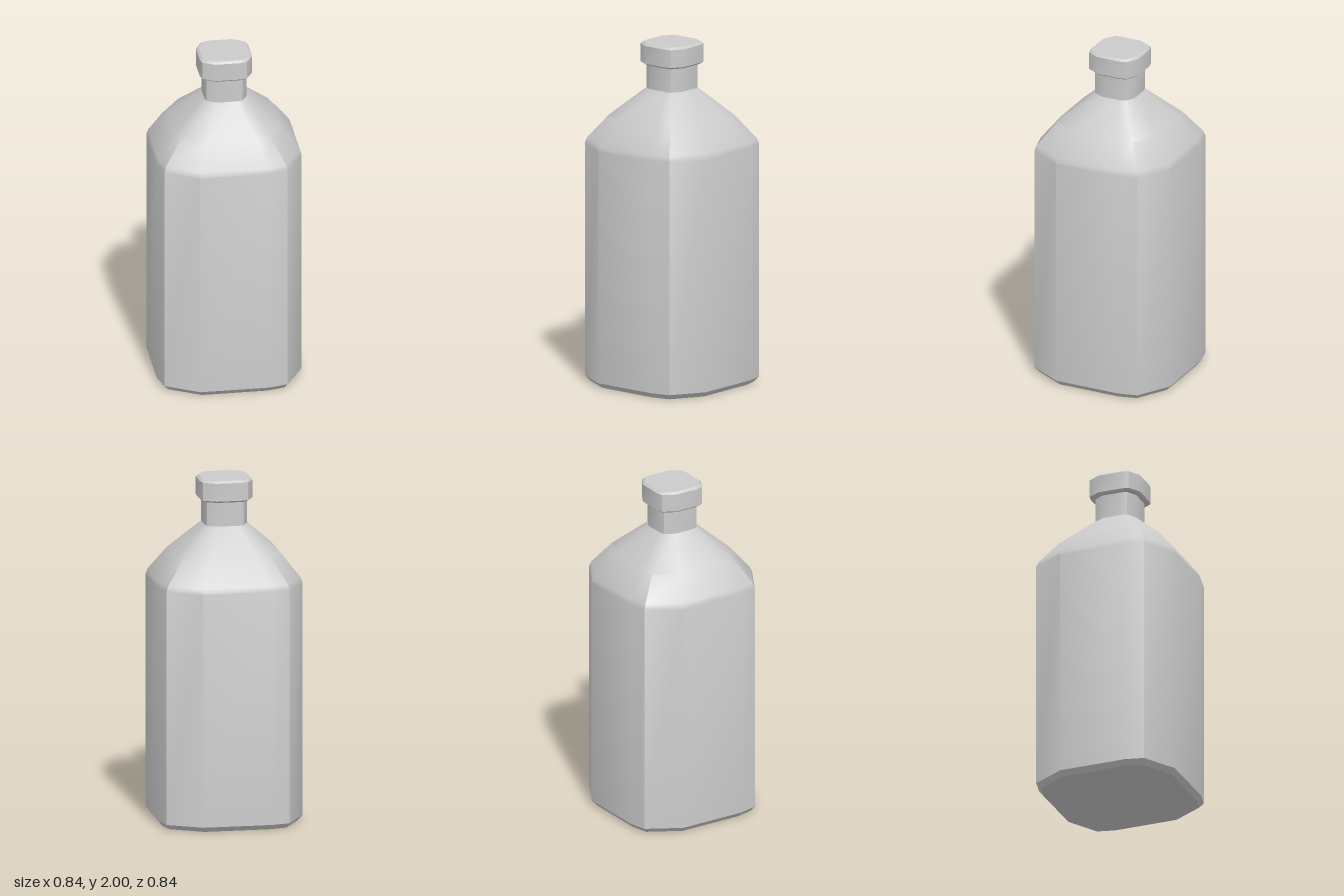
import * as THREE from 'three';
import { toCreasedNormals } from 'three/addons/utils/BufferGeometryUtils.js';

// One side of the rounded-square section, as fractions of its half width
const SIDE = [[-0.476, 1], [0.476, 1], [0.738, 0.936]];

// Full section, turned a quarter for each side (+z, +x, -z, -x)
function section() {
  const points = [];
  for (let k = 0; k < 4; k++) {
    for (const [px, pz] of SIDE) {
      let x = px, z = pz;
      for (let t = 0; t < k; t++) [x, z] = [z, -x];
      points.push([x, z]);
    }
  }
  return points;
}

// Closed loft of the section through [half width, height] stations
function loft(profile) {
  const ring = section(), n = ring.length;
  const positions = [], index = [];
  for (const [r, y] of profile) {
    for (const [x, z] of ring) positions.push(x * r, y, z * r);
  }
  const last = profile.length - 1;
  for (let s = 0; s < last; s++) {
    for (let i = 0; i < n; i++) {
      const a = s * n + i, b = s * n + (i + 1) % n;
      index.push(a, b, b + n, a, b + n, a + n);
    }
  }
  // Flat end faces
  const bottom = positions.length / 3, top = bottom + 1;
  positions.push(0, profile[0][1], 0, 0, profile[last][1], 0);
  for (let i = 0; i < n; i++) {
    const j = (i + 1) % n;
    index.push(bottom, j, i, top, last * n + i, last * n + j);
  }
  const geometry = new THREE.BufferGeometry();
  geometry.setAttribute('position', new THREE.Float32BufferAttribute(positions, 3));
  geometry.setIndex(index);
  return toCreasedNormals(geometry, 0.6);
}

export function createModel() {
  const model = new THREE.Group();
  model.name = 'bottle';
  const material = new THREE.MeshStandardMaterial({ color: 0xcccccc });

  const add = (name, profile) => {
    const mesh = new THREE.Mesh(loft(profile), material);
    mesh.name = name;
    model.add(mesh);
  };

  // Chamfered base, straight walls, bulging shoulder and neck
  add('body', [
    [0.396, 0], [0.42, 0.03], [0.42, 1.4], [0.41, 1.43],
    [0.305, 1.565], [0.123, 1.73], [0.123, 1.89],
  ]);

  // Stopper with chamfered edges
  add('cap', [[0.14, 1.873], [0.152, 1.883], [0.152, 1.988], [0.139, 2]]);

  return model;
}
